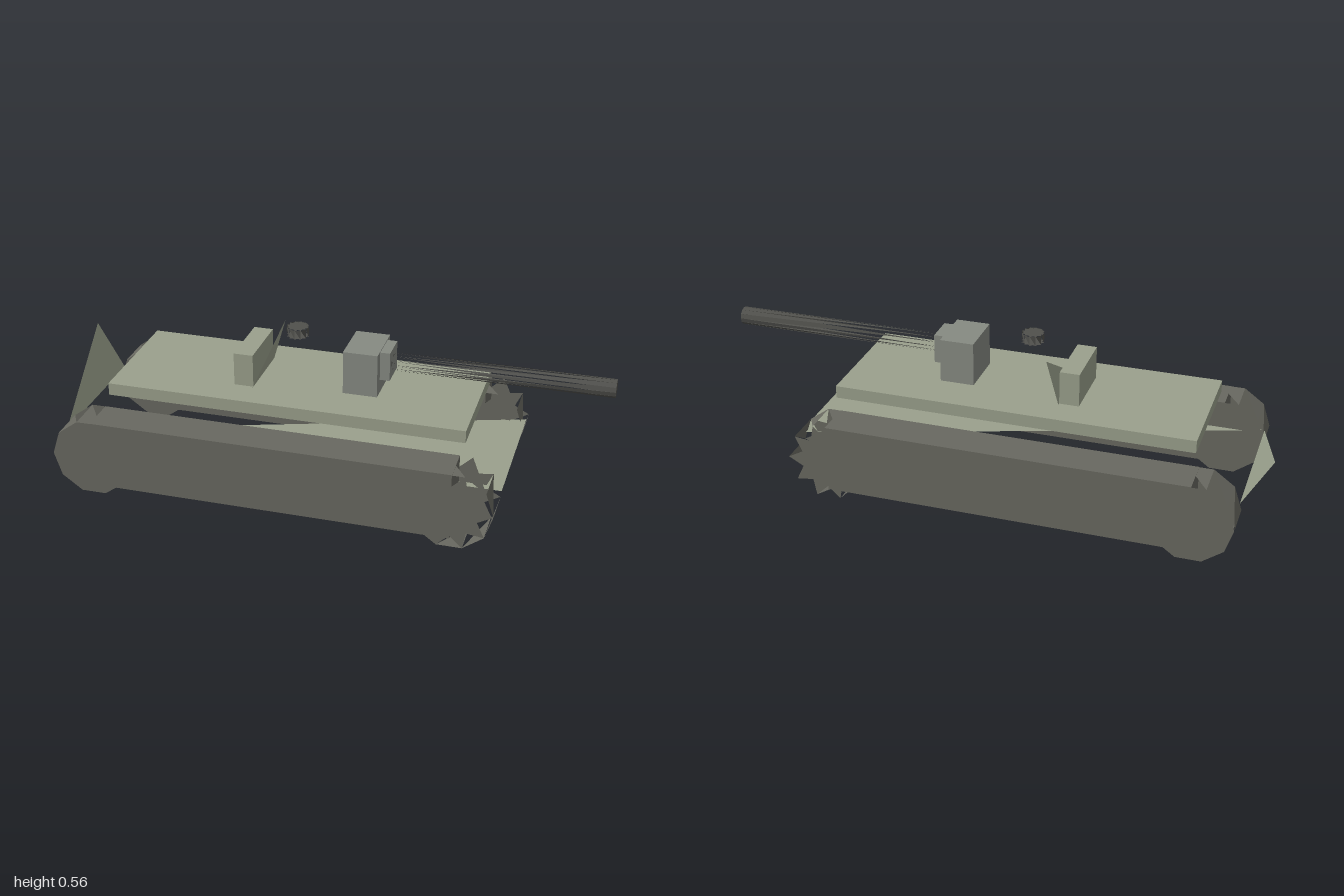
import * as THREE from 'three';

const mat = (color) => new THREE.MeshStandardMaterial({ color, flatShading: true, side: THREE.DoubleSide });
const hullMat = mat(0x9aa08c);
const gunMat = mat(0x868a82);
const trackMat = mat(0x686860);
const darkMat = mat(0x50504c);

function add(parent, name, geometry, material) {
  const mesh = new THREE.Mesh(geometry, material);
  mesh.name = name;
  parent.add(mesh);
  return mesh;
}

// Box given by its lower and upper limits on each axis
function box(parent, name, [x0, x1], [y0, y1], [z0, z1], material) {
  const mesh = add(parent, name, new THREE.BoxGeometry(x1 - x0, y1 - y0, z1 - z0), material);
  mesh.position.set((x0 + x1) / 2, (y0 + y1) / 2, (z0 + z1) / 2);
}

function triangles(points) {
  const geometry = new THREE.BufferGeometry();
  geometry.setAttribute('position', new THREE.Float32BufferAttribute(points.flat(), 3));
  geometry.computeVertexNormals();
  return geometry;
}

// Jagged drum along z: each wall panel is one triangle, each cap is a star.
// notch is the radius between the points of the star.
function jaggedDrum(radius, length, sides, notch) {
  const at = (i, r, z) => {
    const a = (i / sides) * Math.PI * 2;
    return [r * Math.cos(a), r * Math.sin(a), z];
  };
  const h = length / 2;
  const points = [];
  for (let i = 0; i < sides; i++) {
    points.push(at(i, radius, h), at(i + 1, radius, h), at(i + 1, radius, -h));
    points.push([0, 0, h], at(i, radius, h), at(i + 0.5, notch, h));
    points.push([0, 0, h], at(i + 0.5, notch, h), at(i + 1, radius, h));
    points.push([0, 0, -h], at(i + 0.5, notch, -h), at(i, radius, -h));
    points.push([0, 0, -h], at(i + 1, radius, -h), at(i + 0.5, notch, -h));
  }
  return triangles(points);
}

// Floor triangle and sloped rear triangle of an open shell
function openShell(parent, name, front, rear, rearTop, y0, y1, w, material) {
  const shell = new THREE.Group();
  shell.name = name;
  parent.add(shell);
  add(shell, name + 'Floor', triangles([[front, y0, -w], [front, y0, w], [rear, y0, w]]), material);
  add(shell, name + 'RearPlate', triangles([[rear, y0, w], [rear, y0, -w], [rearTop, y1, -w]]), material);
}

export function createModel() {
  const model = new THREE.Group();
  model.name = 'trackedVehicle';

  // Hull
  openShell(model, 'lowerHull', 0.675, -0.9, -1, 0.175, 0.35, 0.262, hullMat);
  box(model, 'deck', [-0.74, 0.54], [0.32, 0.365], [-0.23, 0.23], hullMat);

  // Tracks with a jagged wheel at each end
  for (const side of [1, -1]) {
    const track = new THREE.Group();
    track.name = side > 0 ? 'frontTrack' : 'backTrack';
    track.position.z = side * 0.305;
    model.add(track);
    box(track, 'trackRun', [-0.755, 0.525], [0.03, 0.275], [-0.068, 0.068], trackMat);
    for (const x of [-0.76, 0.525]) {
      const notch = x < 0 ? 0.137 : 0.095;
      const wheel = add(track, x < 0 ? 'rearWheel' : 'driveWheel', jaggedDrum(0.144, 0.136, 10, notch), trackMat);
      wheel.position.set(x, 0.137, 0);
    }
  }

  // Turret
  openShell(model, 'turret', 0.13, -0.24, -0.195, 0.366, 0.523, 0.126, hullMat);
  box(model, 'turretBustle', [-0.31, -0.24], [0.365, 0.485], [-0.115, 0.115], hullMat);
  const hatch = add(model, 'hatch', jaggedDrum(0.04, 0.034, 12, 0.032), darkMat);
  hatch.rotation.x = -Math.PI / 2;
  hatch.position.set(-0.11, 0.547, 0);

  // Gun
  box(model, 'mantlet', [0.078, 0.2], [0.373, 0.53], [-0.09, 0.09], gunMat);
  box(model, 'gunCollar', [0.2, 0.235], [0.423, 0.527], [-0.053, 0.053], gunMat);
  const barrel = add(model, 'barrel', jaggedDrum(0.032, 0.765, 12, 0.029), darkMat);
  barrel.rotation.y = Math.PI / 2;
  barrel.position.set(0.6175, 0.475, 0);

  return model;
}
